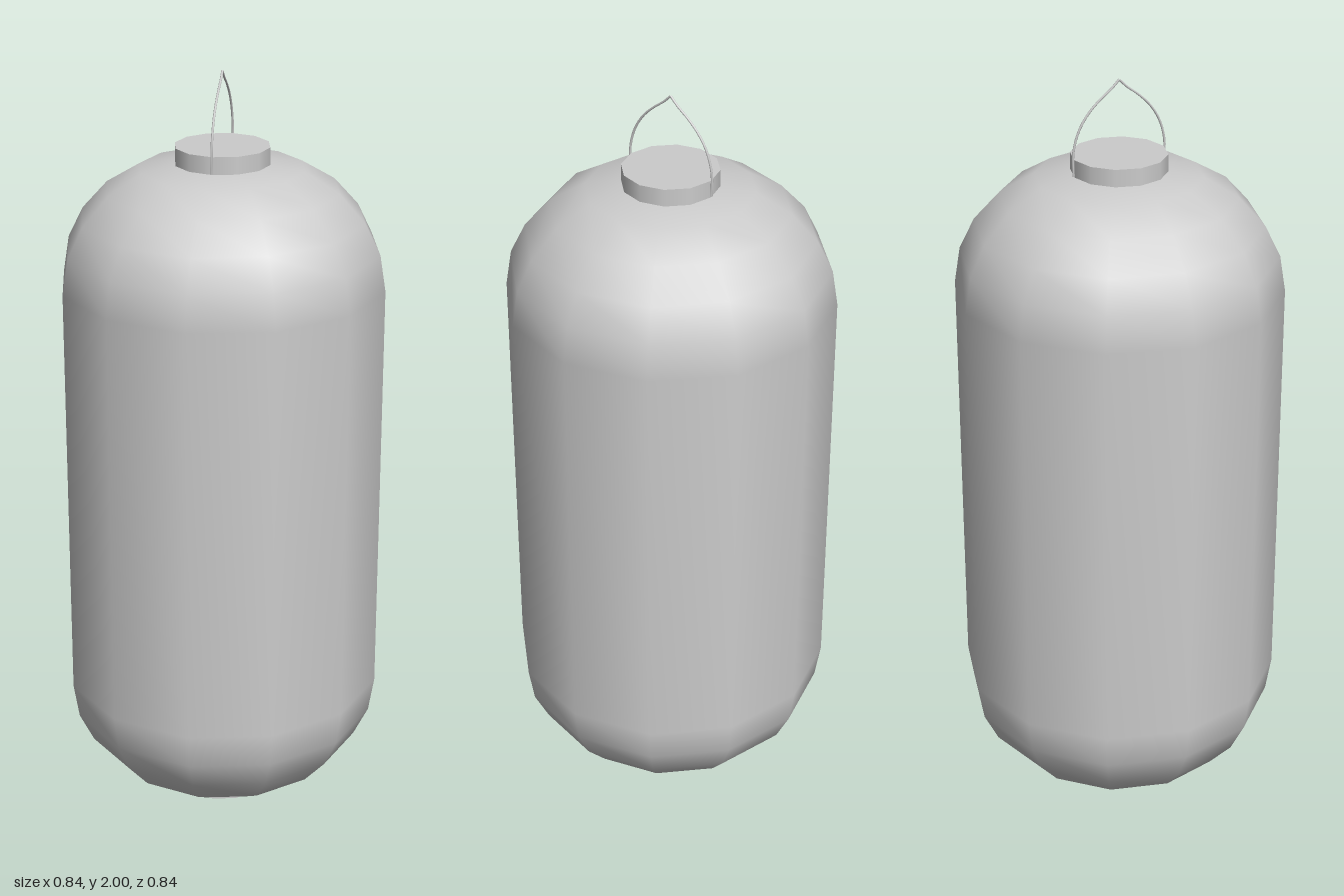
import * as THREE from 'three';

const SIDES = 12;
const MID = 0.905; // height of the lantern's mirror plane

export function createModel() {
  const group = new THREE.Group();
  const material = new THREE.MeshStandardMaterial({ color: 0xcccccc });
  const add = (name, geometry, y = 0) => {
    const mesh = new THREE.Mesh(geometry, material);
    mesh.name = name;
    mesh.position.y = y;
    group.add(mesh);
  };

  // Lantern body: rounded shoulder profile, mirrored for the lower half
  const shoulder = [[0.42, 1.455], [0.405, 1.548], [0.366, 1.627], [0.3, 1.7], [0.212, 1.753], [0.11, 1.767]];
  const upper = shoulder.map(([r, y]) => new THREE.Vector2(r, y));
  const lower = shoulder.map(([r, y]) => new THREE.Vector2(r, 2 * MID - y)).reverse();
  add('lanternBody', new THREE.LatheGeometry([...lower, ...upper], SIDES));

  // End caps
  const cap = new THREE.CylinderGeometry(0.122, 0.122, 0.05, SIDES);
  add('bottomCap', cap, 0.025);
  add('topCap', cap, 2 * MID - 0.025);

  // Wire handle: two mirrored arcs meeting in a point
  const arc = [[0.124, 1.768], [0.124, 1.83], [0.109, 1.882], [0.083, 1.923], [0.05, 1.955], [0.02, 1.978], [0, 1.998]];
  for (const side of [1, -1]) {
    const path = new THREE.CatmullRomCurve3(arc.map(([z, y]) => new THREE.Vector3(0, y, side * z)));
    add(side > 0 ? 'handleFront' : 'handleBack', new THREE.TubeGeometry(path, 18, 0.003, 6));
  }
  return group;
}
